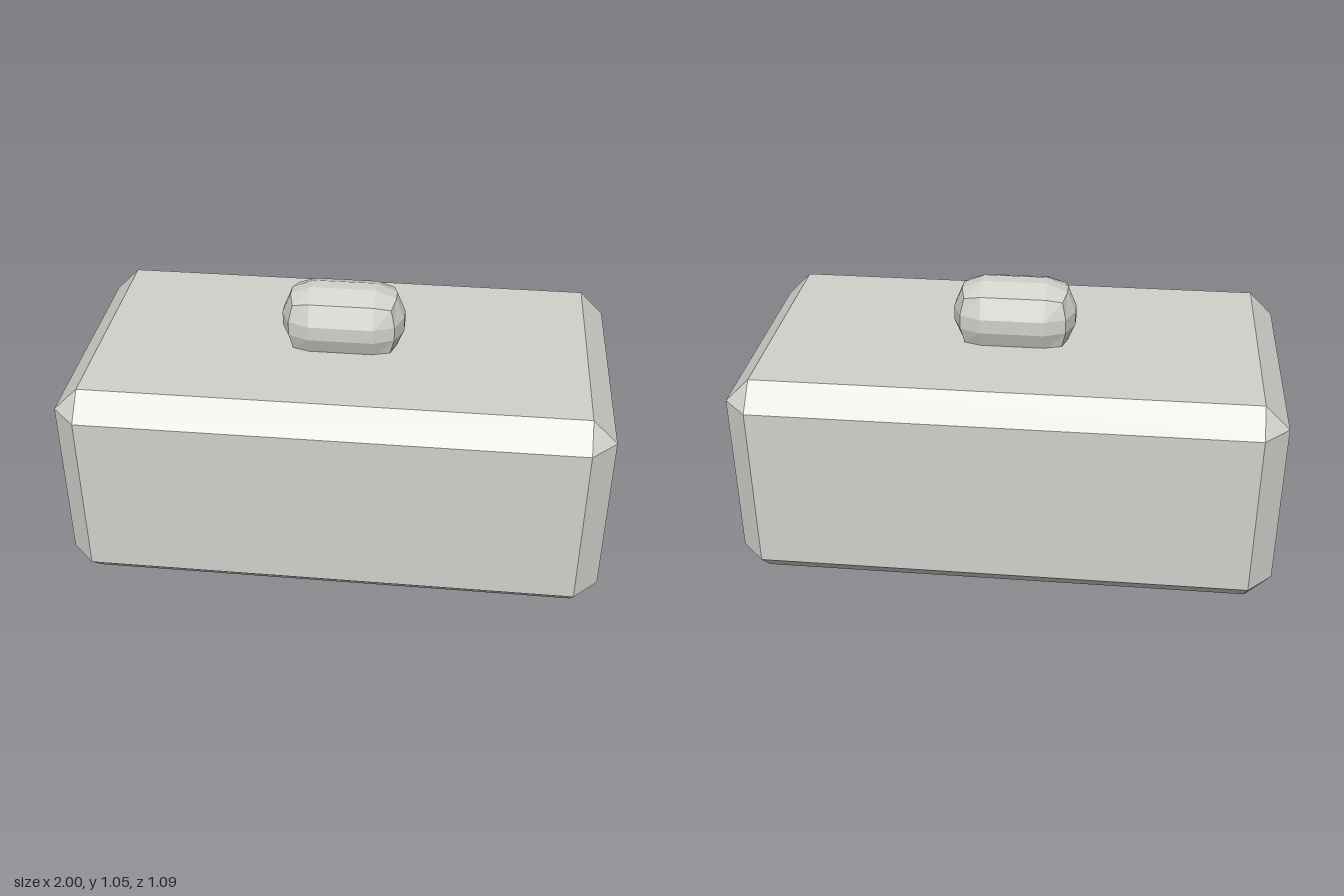
import * as THREE from 'three';
import { ConvexGeometry } from 'three/addons/geometries/ConvexGeometry.js';
import { RoundedBoxGeometry } from 'three/addons/geometries/RoundedBoxGeometry.js';

// Box with every edge cut at 45 degrees and triangular corners
function chamferedBox(w, h, d, c) {
  const points = [];
  for (const sx of [-1, 1]) for (const sy of [-1, 1]) for (const sz of [-1, 1]) {
    const x = w / 2, y = h / 2, z = d / 2;
    points.push(
      new THREE.Vector3(sx * x, sy * (y - c), sz * (z - c)),
      new THREE.Vector3(sx * (x - c), sy * y, sz * (z - c)),
      new THREE.Vector3(sx * (x - c), sy * (y - c), sz * z),
    );
  }
  return new ConvexGeometry(points);
}

export function createModel() {
  const model = new THREE.Group();
  model.name = 'lidlessBoxWithKnob';
  const paleGrey = new THREE.MeshStandardMaterial({ color: 0xd0d1cb });
  paleGrey.name = 'paleGrey';

  // Main block
  const body = new THREE.Mesh(chamferedBox(2, 0.82, 1.09, 0.091), paleGrey);
  body.name = 'body';
  body.position.y = 0.41;

  // Faceted knob, sunk a little into the top of the block
  const knobShape = new RoundedBoxGeometry(0.456, 0.272, 0.272, 1, 0.109);
  knobShape.computeVertexNormals(); // unshared corners give flat facets
  const knob = new THREE.Mesh(knobShape, paleGrey);
  knob.name = 'knob';
  knob.position.y = 0.91;

  model.add(body, knob);
  return model;
}
